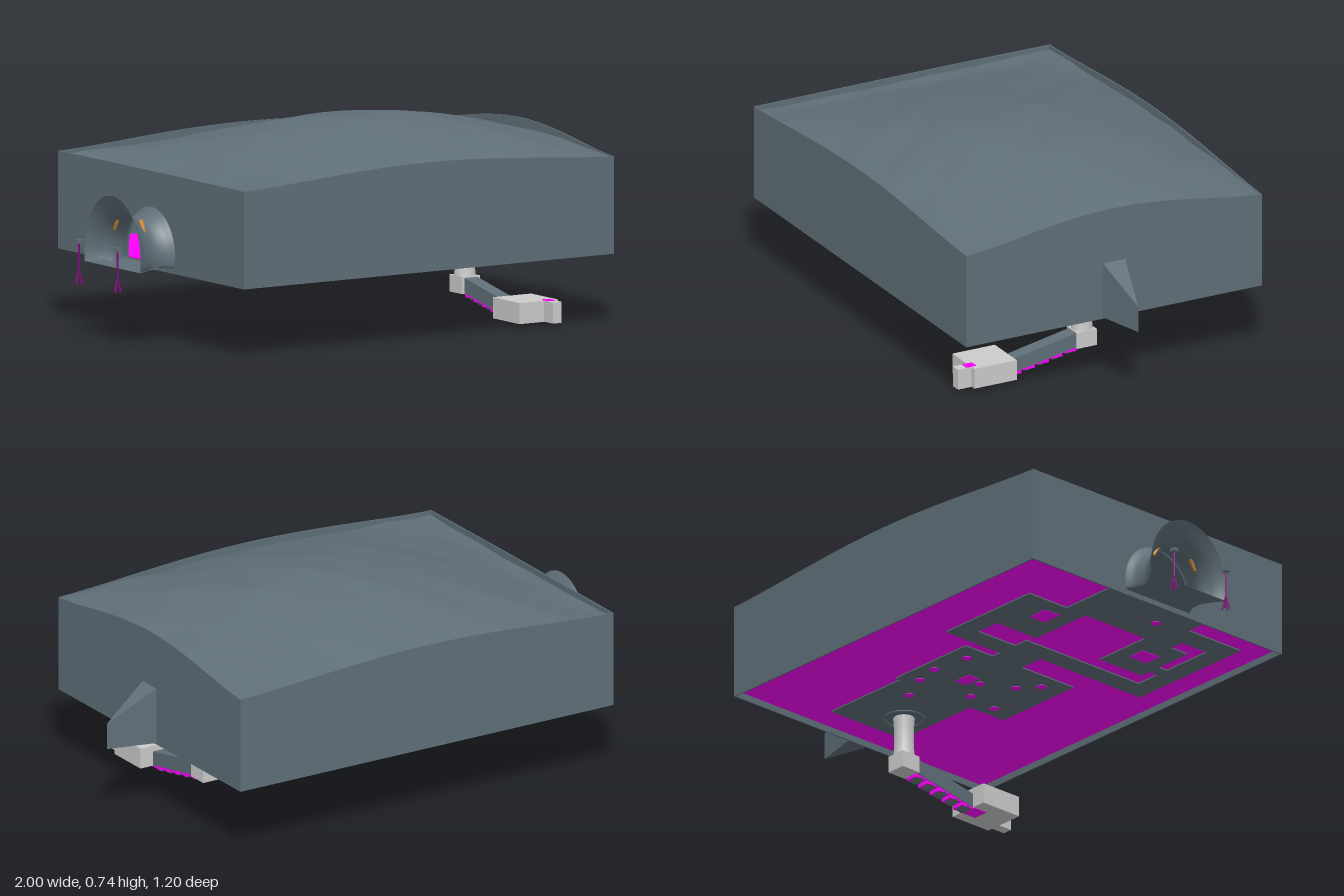
import * as THREE from 'three';
import { ConvexGeometry } from 'three/addons/geometries/ConvexGeometry.js';
import { ParametricGeometry } from 'three/addons/geometries/ParametricGeometry.js';

const mat = (color, flatShading = false) =>
  new THREE.MeshStandardMaterial({ color, flatShading, side: THREE.DoubleSide });
const slate = mat(0x5f6f78);
const slateFlat = mat(0x5f6f78, true);
const magenta = mat(0xff00ff);
const purple = mat(0x80107a);
const orange = mat(0xd08a30);
const grey = mat(0xcccccc);

const X0 = -0.76, X1 = 0.82, Z = 0.6, BASE = 0.26, FLOOR = 0.28;

// Height of the domed ground over the block
function ground(x, z) {
  const t = x < 0.15 ? ((0.15 - x) / 0.77) * 1.5 : ((x - 0.15) / 0.67) * 1.28;
  const dome = Math.cos(Math.min(t, 1.65)) * Math.cos((z / Z) * 1.4);
  const bumps = Math.sin(x * 13 + z * 5) * Math.sin(z * 11 - x * 4) + 0.5 * Math.sin(x * 23 - z * 17);
  return 0.6 + 0.142 * dome + 0.0035 * bumps;
}

export function createModel() {
  const root = new THREE.Group();

  function add(name, geometry, material, x = 0, y = 0, z = 0, parent = root) {
    const mesh = new THREE.Mesh(geometry, material);
    mesh.name = name;
    mesh.position.set(x, y, z);
    parent.add(mesh);
    return mesh;
  }
  // Box given by its limits on each axis
  function box(name, material, x0, x1, y0, y1, z0, z1, parent) {
    return add(name, new THREE.BoxGeometry(x1 - x0, y1 - y0, z1 - z0), material,
      (x0 + x1) / 2, (y0 + y1) / 2, (z0 + z1) / 2, parent);
  }

  // Rolling ground on top
  const top = new THREE.PlaneGeometry(X1 - X0, 2 * Z, 64, 48);
  top.rotateX(-Math.PI / 2).translate((X0 + X1) / 2, 0, 0);
  const p = top.attributes.position;
  for (let i = 0; i < p.count; i++) p.setY(i, ground(p.getX(i), p.getZ(i)));
  top.computeVertexNormals();
  add('ground', top, slate);

  // Thin outer walls with a gently arched top edge
  function wall(name, a, b, rise, hole) {
    const s = new THREE.Shape();
    s.moveTo(a, BASE);
    s.lineTo(b, BASE);
    for (let i = 0; i <= 24; i++) {
      const t = i / 24;
      s.lineTo(b + (a - b) * t, 0.612 + rise * Math.sin(Math.PI * t) ** 1.4);
    }
    if (hole) s.holes.push(hole);
    return add(name, new THREE.ExtrudeGeometry(s, { depth: 0.005, bevelEnabled: false }), slate);
  }
  wall('frontWall', X0, X1, 0.042).position.z = Z - 0.005;
  wall('backWall', X0, X1, 0.042).position.z = -Z;
  const leftWall = wall('leftWall', -Z, Z, 0.066);
  leftWall.rotation.y = Math.PI / 2;
  leftWall.position.x = X1 - 0.005;
  const arch = new THREE.Path();
  arch.moveTo(-0.15, FLOOR);
  arch.lineTo(-0.15, 0.32);
  arch.absellipse(0, 0.32, 0.15, 0.16, Math.PI, 0, true);
  arch.lineTo(0.15, FLOOR);
  const rightWall = wall('rightWall', -Z, Z, 0.002, arch);
  rightWall.rotation.y = Math.PI / 2;
  rightWall.position.x = X0;

  // Recessed underside with the rooms and corridors laid out on it
  box('underside', magenta, X0 + 0.005, X1 - 0.005, 0.284, 0.288, -Z + 0.005, Z - 0.005);
  const rooms = new THREE.Group();
  rooms.name = 'roomFloors';
  root.add(rooms);
  [ // x0, x1, z0, z1
    [0.35, 0.71, -0.23, 0.11], [-0.02, 0.35, -0.25, 0.27],
    [-0.2, -0.02, -0.12, 0.02], [-0.5, -0.06, -0.38, -0.3], [-0.14, -0.06, -0.3, -0.12],
    [-0.5, -0.24, -0.3, -0.11], [-0.76, -0.5, -0.2, 0.25], [-0.2, -0.12, 0, 0.5],
    [-0.65, -0.2, 0.42, 0.5], [-0.65, -0.56, 0.25, 0.42], [-0.5, -0.26, 0.18, 0.38],
    [-0.35, -0.3, 0.38, 0.42], [-0.56, -0.5, 0.1, 0.3],
  ].forEach(([a, b, c, d]) => box('roomFloor', slate, a, b, 0.279, 0.284, c, d, rooms));

  // Round pits and blocks standing in the rooms
  [[0.3, -0.18], [0.3, 0.18], [0.05, -0.18], [0.05, 0.18], [0.18, 0], [0.42, -0.12],
    [0.2, -0.2], [0.12, 0.12], [0.28, 0.05], [-0.62, 0.12]]
    .forEach(([x, z]) => add('pit', new THREE.CylinderGeometry(0.018, 0.018, 0.004, 12), magenta, x, 0.279, z));
  box('block', magenta, 0.15, 0.22, 0.277, 0.281, -0.08, -0.03);
  box('block', magenta, -0.44, -0.36, 0.277, 0.281, -0.25, -0.18);
  box('block', magenta, -0.42, -0.35, 0.277, 0.281, 0.24, 0.32);

  // Flared tunnel mouth
  const mouthCurve = new THREE.CatmullRomCurve3([
    // x, vertical radius, horizontal radius
    new THREE.Vector3(X0, 0.165, 0.155), new THREE.Vector3(-0.795, 0.14, 0.135),
    new THREE.Vector3(-0.835, 0.13, 0.13), new THREE.Vector3(-0.88, 0.155, 0.15),
    new THREE.Vector3(-0.925, 0.216, 0.182)]);
  const q = new THREE.Vector3();
  add('tunnelMouth', new ParametricGeometry((u, v, target) => {
    mouthCurve.getPoint(v, q);
    const a = -0.3 + u * (Math.PI + 0.6);
    target.set(q.x, Math.max(FLOOR, 0.32 + q.y * Math.sin(a)), q.z * Math.cos(a));
  }, 32, 16), slate);
  const sill = new THREE.Shape();
  for (const s of [1, -1]) {
    for (let i = 0; i <= 8; i++) {
      mouthCurve.getPoint(s > 0 ? i / 8 : 1 - i / 8, q);
      if (s > 0 && i === 0) sill.moveTo(q.x, q.z);
      else sill.lineTo(q.x, s * q.z);
    }
  }
  add('tunnelFloor', new THREE.ShapeGeometry(sill).rotateX(Math.PI / 2), slate, 0, FLOOR, 0);

  // Torches inside the mouth and tripod posts outside it
  for (const s of [1, -1]) {
    const torch = add('torch', new THREE.CylinderGeometry(0.009, 0.005, 0.06, 8), orange, -0.85, 0.425, s * 0.085);
    torch.rotation.x = -s * 0.5;
    const post = new THREE.Group();
    post.name = 'post';
    post.position.set(-0.985, 0, s * 0.125);
    root.add(post);
    box('postCap', slate, -0.012, 0.012, 0.357, 0.37, -0.01, 0.01, post);
    add('postStem', new THREE.CylinderGeometry(0.004, 0.004, 0.1, 6), purple, 0, 0.31, 0, post);
    for (let i = 0; i < 4; i++) {
      const leg = new THREE.CylinderGeometry(0.002, 0.003, 0.055, 5);
      leg.rotateZ(0.25).translate(0.008, 0.236, 0).rotateY((i * Math.PI) / 2 + 0.5);
      add('postLeg', leg, purple, 0, 0, 0, post);
    }
  }

  // Wedge-shaped fin
  const fin = [[1, 0.265, 0], [1, 0.362, 0]];
  for (const s of [1, -1]) fin.push([X1, 0.265, s * 0.045], [X1, 0.473, s * 0.045]);
  add('fin', new ConvexGeometry(fin.map((v) => new THREE.Vector3(...v))), slateFlat);

  // Shaft below the block, its collar and the small chamber at its foot
  add('shaft', new THREE.LatheGeometry([[0.039, 0.13], [0.036, 0.16], [0.035, 0.2], [0.036, 0.24], [0.039, 0.282]]
    .map(([r, y]) => new THREE.Vector2(r, y)), 24), grey, 0.58);
  add('shaftCollar', new THREE.TorusGeometry(0.07, 0.006, 6, 32).rotateX(Math.PI / 2), slate, 0.58, 0.279, 0);
  box('footChamber', grey, 0.542, 0.618, 0.068, 0.13, -0.04, 0.04);

  // Sloping passage with stepped underside
  const side = new THREE.Shape();
  [[-0.31, 0.02], [-0.04, 0.07], [-0.04, 0.125], [-0.31, 0.072]]
    .forEach(([z, y], i) => (i ? side.lineTo(z, y) : side.moveTo(z, y)));
  const passage = add('passage', new THREE.ExtrudeGeometry(side, { depth: 0.055, bevelEnabled: false }), slate, 0.553);
  passage.rotation.y = Math.PI / 2;
  for (let i = 0; i < 5; i++) {
    const z = 0.285 - i * 0.056, y = 0.014 + i * 0.0105;
    box('step', magenta, 0.556, 0.606, y, y + 0.018, z - 0.025, z + 0.025);
    const under = add('stepUnderside', new THREE.CylinderGeometry(0.032, 0.018, 0.012, 8), slateFlat, 0.58, y - 0.004, z);
    under.scale.set(0.85, 1, 0.8);
  }

  // End chamber with a small alcove
  box('endChamber', grey, 0.497, 0.66, 0.018, 0.094, 0.308, 0.48);
  box('alcove', grey, 0.602, 0.64, 0.018, 0.094, 0.48, 0.536);
  box('alcoveTop', magenta, 0.605, 0.637, 0.094, 0.096, 0.46, 0.5);
  box('chamberUnderside', magenta, 0.55, 0.61, 0.016, 0.018, 0.31, 0.37);

  return root;
}
